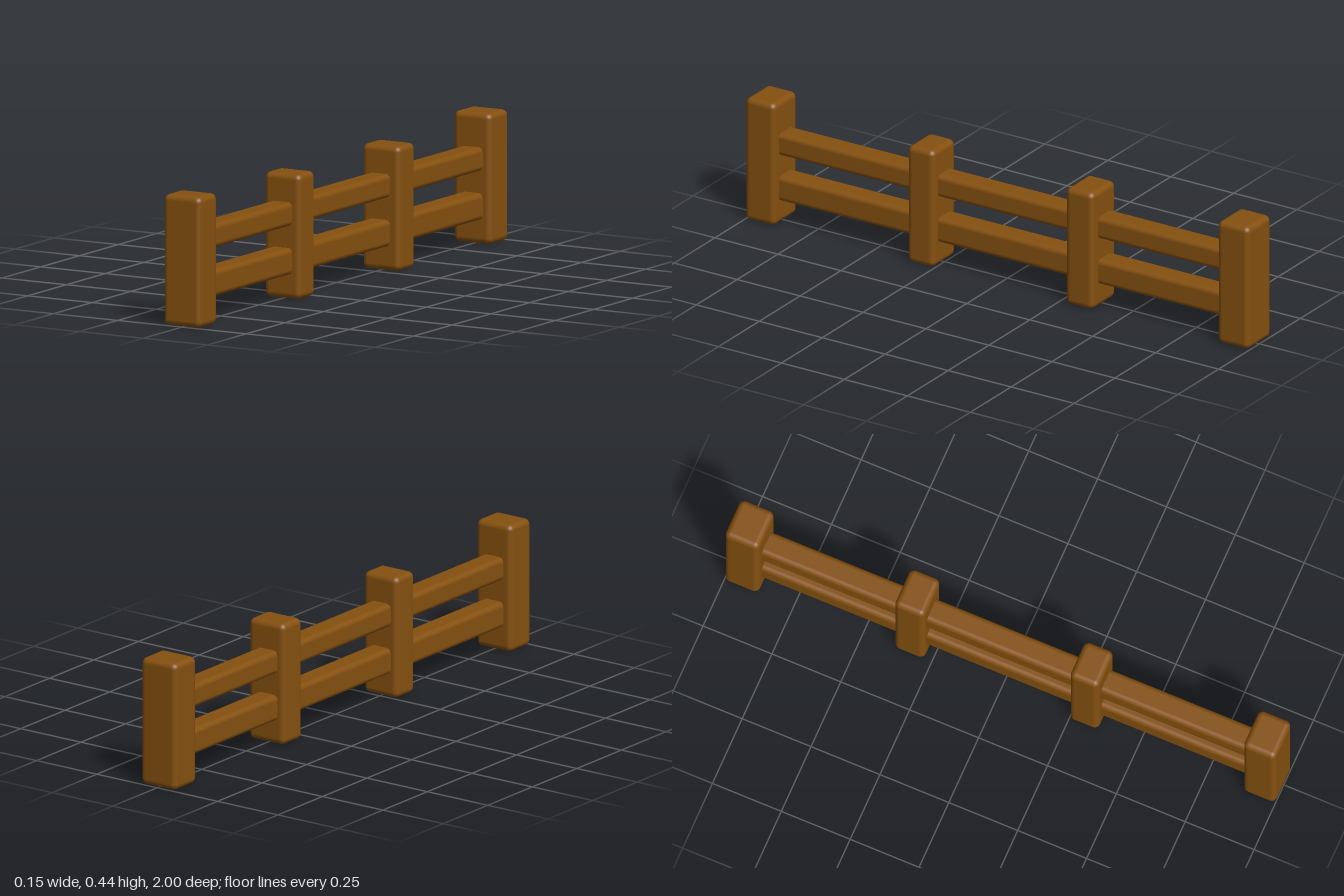
import * as THREE from 'three';
import { RoundedBoxGeometry } from 'three/addons/geometries/RoundedBoxGeometry.js';

export function createModel() {
  const fence = new THREE.Group();
  fence.name = 'fence';
  const wood = new THREE.MeshStandardMaterial({ color: 0x85500f });
  wood.name = 'brown wood';

  // Softly rounded timber spanning the given ranges
  function timber(name, [x0, x1], [y0, y1], [z0, z1], radius) {
    const geometry = new RoundedBoxGeometry(x1 - x0, y1 - y0, z1 - z0, 3, radius);
    const mesh = new THREE.Mesh(geometry, wood);
    mesh.name = name;
    mesh.position.set((x0 + x1) / 2, (y0 + y1) / 2, (z0 + z1) / 2);
    fence.add(mesh);
    return mesh;
  }

  // Posts: taller, thicker ones at the ends, slightly uneven as if hand cut
  const posts = [
    ['frontEndPost', [-0.075, 0.07], 0.443, [0.882, 1]],
    ['frontMiddlePost', [-0.07, 0.07], 0.423, [0.25, 0.355]],
    ['backMiddlePost', [-0.07, 0.076], 0.423, [-0.386, -0.277]],
    ['backEndPost', [-0.075, 0.07], 0.443, [-1, -0.876]],
  ];
  for (const [name, x, height, z] of posts) timber(name, x, [0, height], z, 0.02);

  // Two rows of rails, one rail per bay, ends buried in the posts
  const bays = [[0.31, 0.93], [-0.33, 0.3], [-0.93, -0.34]];
  const rows = [['lowerRail', [0.083, 0.173]], ['upperRail', [0.248, 0.328]]];
  for (const [name, y] of rows) {
    for (const z of bays) timber(name, [-0.045, 0.041], y, z, 0.018);
  }

  return fence;
}
